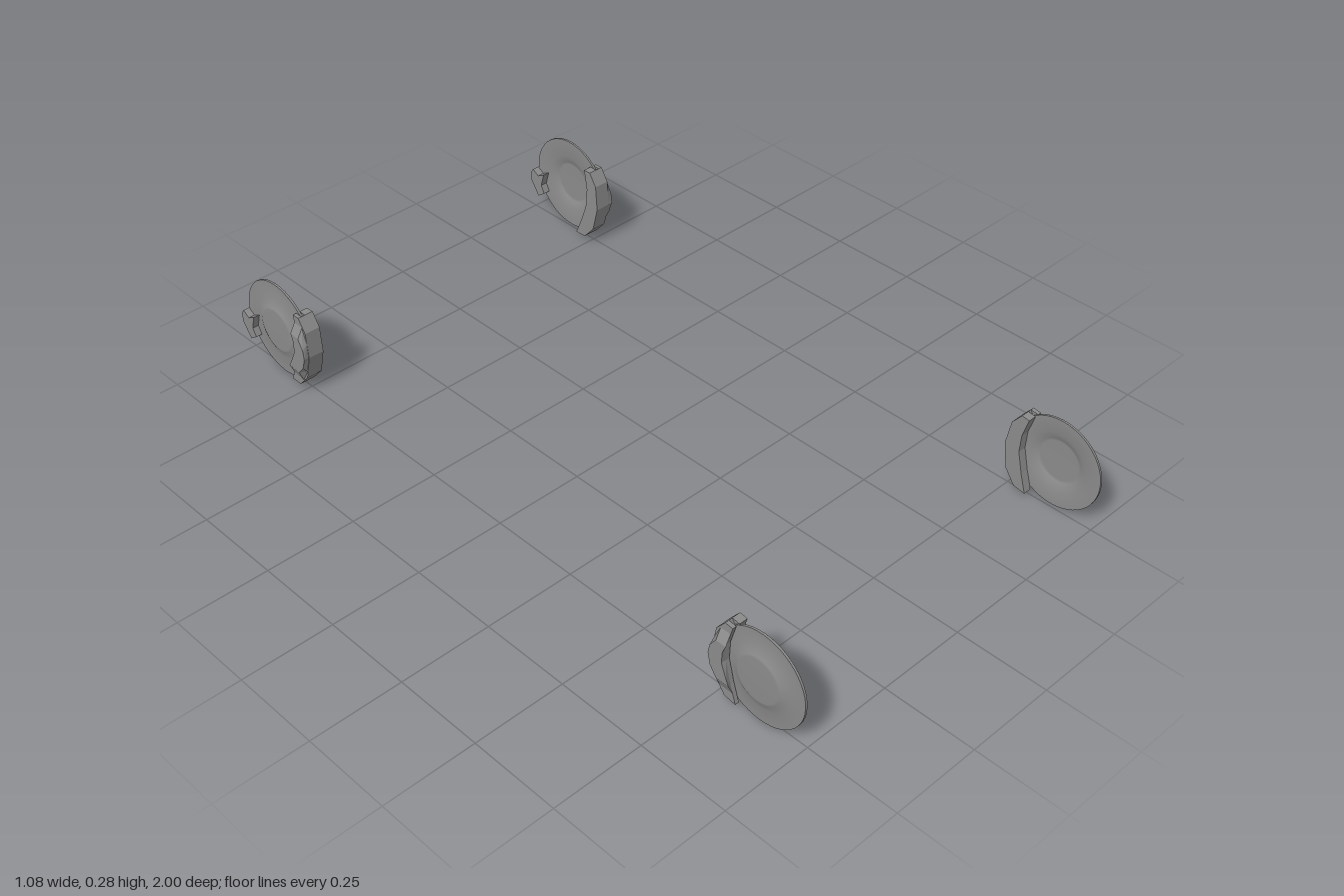
import * as THREE from 'three';

const material = new THREE.MeshStandardMaterial({ color: 0x8a8a8a });
const flatMaterial = new THREE.MeshStandardMaterial({ color: 0x8a8a8a, flatShading: true });

// Outlines: [distance from the axle toward the caliper, height above the axle]
const CALIPER = [[0.075, 0.1], [0.097, 0.103], [0.123, 0.07], [0.135, 0], [0.124, -0.072],
  [0.094, -0.113], [0.06, -0.118], [0.077, -0.065], [0.092, -0.005], [0.09, 0.045]];
const BULGE = [[0.0805, 0.08], [0.11, 0.08], [0.128, 0.04], [0.133, 0], [0.126, -0.05],
  [0.108, -0.09], [0.069, -0.09], [0.077, -0.065], [0.092, -0.005], [0.09, 0.045]];
const PARKING = [[-0.094, -0.005], [-0.118, -0.018], [-0.14, -0.005], [-0.15, -0.02],
  [-0.148, -0.045], [-0.12, -0.086], [-0.094, -0.068], [-0.106, -0.045]];

function mesh(name, geometry, mat) {
  const m = new THREE.Mesh(geometry, mat);
  m.name = name;
  return m;
}

// Slab between two depths along the axle (outward is +z before the corner is turned)
function slab(name, outline, flip, from, to, taper = 1) {
  const shape = new THREE.Shape(outline.map(([a, b]) => new THREE.Vector2(a * flip, b)));
  const geo = new THREE.ExtrudeGeometry(shape, { depth: to - from, bevelEnabled: false });
  const p = geo.attributes.position;
  for (let i = 0; i < p.count; i++) {
    if (p.getZ(i) > 1e-6) p.setY(i, p.getY(i) * taper);
  }
  geo.translate(0, 0, from);
  geo.computeVertexNormals();
  return mesh(name, geo, flatMaterial);
}

// Thin rotor with a hollow raised hat
function disc(radius) {
  const profile = [[0, 0.009], [0.055, 0.009], [0.062, 0.008], [0.085, -0.003], [radius, -0.003],
    [radius, 0.003], [0.088, 0.003], [0.065, 0.013], [0.058, 0.015], [0, 0.015]];
  // Doubled corner points keep the rim crisp
  const pts = profile.flatMap(([r, h]) => {
    const v = new THREE.Vector2(r, h);
    return r === radius ? [v, v.clone().setY(h * 0.98)].sort((p, q) => p.y - q.y) : [v];
  });
  const geo = new THREE.LatheGeometry(pts, 48);
  geo.rotateX(Math.PI / 2);
  return mesh('brakeDisc', geo, material);
}

// Bridge over the rotor edge: the caliper's outer edge closed by the rotor's arc
function bridgeOutline(radius) {
  const outer = CALIPER.slice(1, 6);
  const inner = [];
  for (let i = 0; i <= 8; i++) {
    const t = -0.86 + (i / 8) * 1.64;
    inner.push([Math.cos(t) * radius, Math.sin(t) * radius]);
  }
  return [...outer, ...inner];
}

function brake(side, front) {
  const corner = new THREE.Group();
  const flip = side * (front ? 1 : -1);
  corner.add(disc(front ? 0.127 : 0.137));

  const caliper = new THREE.Group();
  caliper.name = 'caliper';
  caliper.add(
    slab('innerPad', CALIPER, flip, -0.029, -0.005),
    slab('outerPad', CALIPER, flip, 0.005, 0.016),
    slab('bridge', bridgeOutline(0.121), flip, -0.005, 0.005),
    slab('outerBulge', BULGE, flip, 0.016, 0.03, 0.65),
  );
  // The rear caliper is slightly larger and turned further down around the axle
  if (!front) {
    caliper.scale.set(1.04, 1.04, 1);
    caliper.rotation.z = -0.105 * flip;
    corner.add(slab('parkingCaliper', PARKING, flip, -0.023, 0.021));
  }
  corner.add(caliper);

  corner.name = (front ? 'front' : 'rear') + (side > 0 ? 'Left' : 'Right') + 'Brake';
  corner.rotation.y = side * Math.PI / 2;
  corner.position.set(side * (front ? 0.512 : 0.508), front ? 0.129 : 0.141, front ? 0.873 : -0.85);
  return corner;
}

export function createModel() {
  const model = new THREE.Group();
  model.name = 'brakeSet';
  for (const side of [1, -1]) {
    for (const front of [true, false]) model.add(brake(side, front));
  }
  return model;
}
